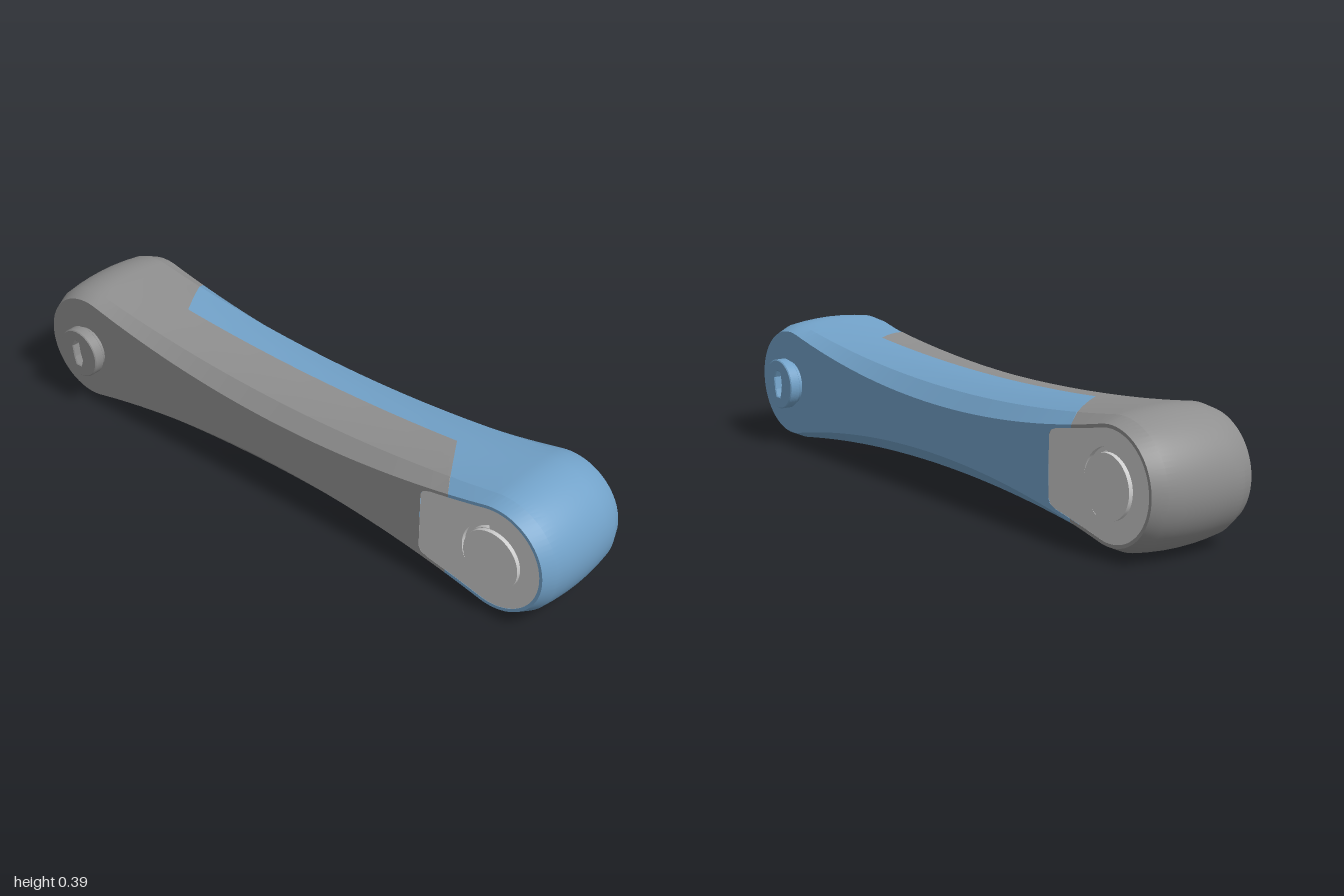
import * as THREE from 'three';
import { toCreasedNormals } from 'three/addons/utils/BufferGeometryUtils.js';

const C = 0.802;      // distance of each end's centre from the middle
const CY = 0.198;     // height of the centre line
const W = 0.177;      // half thickness
const BEND = 0.135;   // where the crown turns into the chamfer
const CUT = 0.64, RAMP = 0.53; // where the seam between the halves crosses over

const material = (color) => new THREE.MeshStandardMaterial({ color, side: THREE.DoubleSide });

// Crowned value across the thickness: mid at z = 0, bend at BEND, edge at W
function crown(z, mid, bend, edge) {
  const a = Math.abs(z);
  if (a <= BEND) return mid + (bend - mid) * (a / BEND) ** 2;
  return bend + (edge - bend) * (a - BEND) / (W - BEND);
}

// Outline at depth z: end circle R, waist h, joined by a tangent concave arc rho
function section(z, inset = 0) {
  const R = crown(z, 0.197, 0.186, 0.167) - inset;
  const h = crown(z, 0.148, 0.12, 0.075) - inset;
  const rho = (C * C + h * h - R * R) / (2 * (R - h));
  return { R, h, rho, half: (x) => h + rho - Math.sqrt(rho * rho - x * x) };
}

// From (-CUT, bottom) around the left end to (-CUT, top)
function endPath(z, inset = 0) {
  const { R, h, rho, half } = section(z, inset);
  const a = Math.atan2(h + rho, C);
  const tx = -C + R * Math.cos(a);
  const side = [0, 1, 2, 3].map((i) => THREE.MathUtils.lerp(-CUT, tx, i / 4));
  const pts = side.map((x) => [x, -half(x)]);
  for (let i = 0; i <= 40; i++) {
    const t = -a - (2 * Math.PI - 2 * a) * i / 40;
    pts.push([-C + R * Math.cos(t), R * Math.sin(t)]);
  }
  side.reverse().forEach((x) => pts.push([x, half(x)]));
  return pts;
}

// x stations along the bar between the two seam crossings
const stations = [];
for (let i = 0; i < 4; i++) stations.push(CUT - (CUT - RAMP) * i / 4);
for (let i = 0; i <= 28; i++) stations.push(RAMP - 2 * RAMP * i / 28);
for (let i = 1; i < 4; i++) stations.push(-RAMP - (CUT - RAMP) * i / 4);

// Bottom from the right, round the left end, back along the top
function halfPath(z) {
  const { half } = section(z);
  return [
    ...stations.map((x) => [x, -half(x)]),
    ...endPath(z),
    ...[...stations].reverse().map((x) => [x, half(x)]),
  ];
}

// Rear limit of one half: full depth at its own end, none at the other
function seam(x) {
  if (x <= -CUT) return -W;
  if (x < -RAMP) return -W * (-x - RAMP) / (CUT - RAMP);
  if (x < RAMP) return 0;
  return W * Math.min(1, (x - RAMP) / (CUT - RAMP));
}

function shellGeometry() {
  const levels = [-W, -BEND, -0.09, -0.045, 0, 0.045, 0.09, BEND, W];
  const base = halfPath(0);
  const pos = [], index = [];
  levels.forEach((level) => {
    base.forEach(([x0], i) => {
      const z = Math.max(level, seam(x0));
      const [x, y] = halfPath(z)[i];
      pos.push(x, y, z);
    });
  });
  const n = base.length;
  for (let j = 0; j < levels.length - 1; j++) {
    for (let i = 0; i < n - 1; i++) {
      const a = j * n + i, b = a + n;
      index.push(a, b, a + 1, b, b + 1, a + 1);
    }
  }
  const g = new THREE.BufferGeometry();
  g.setAttribute('position', new THREE.Float32BufferAttribute(pos, 3));
  g.setIndex(index);
  return toCreasedNormals(g, 0.3);
}

const shapeOf = (pts) => new THREE.Shape(pts.map(([x, y]) => new THREE.Vector2(x, y)));

// Rounded inner corner of the end plate, from the middle outwards
const corner = [[-0.545, 0.09], [-0.553, 0.105], [-0.575, 0.114]];
const lower = corner.map(([x, y]) => [x, -y]);
const platePath = () => [...lower, ...endPath(W, 0.01), ...[...corner].reverse()];

function add(group, name, geometry, mat, x = 0, z = 0) {
  const mesh = new THREE.Mesh(geometry, mat);
  mesh.name = name;
  mesh.position.set(x, 0, z);
  group.add(mesh);
  return mesh;
}

function disc(group, name, r, z0, z1, mat) {
  const g = new THREE.CylinderGeometry(r, r, z1 - z0, 48).rotateX(Math.PI / 2);
  add(group, name, g, mat, -C, (z0 + z1) / 2);
}

const extrude = (shape, depth) =>
  new THREE.ExtrudeGeometry(shape, { depth, bevelEnabled: false, curveSegments: 48 });

function createHalf(name, color) {
  const half = new THREE.Group();
  half.name = name;
  const body = material(color), plain = material(0xcccccc);

  // Crowned outer skin
  add(half, 'shell', shellGeometry(), body);

  // Flat front face, cut away around the other half's plate
  const y = section(W, 0.01).half(CUT);
  const notch = [[-CUT, y], ...[...corner].reverse(), ...lower, [-CUT, -y]].map(([px, py]) => [-px, py]);
  add(half, 'frontFace', new THREE.ShapeGeometry(shapeOf([...halfPath(W), ...notch])), body, 0, W);

  // Narrow rim round the plate at the back
  const rim = [...endPath(W), ...endPath(W, 0.01).reverse()];
  add(half, 'plateRim', new THREE.ShapeGeometry(shapeOf(rim)), body, 0, -W);

  // End plate with a curved slot beside the pin, over a solid backing
  const plate = shapeOf(platePath());
  const slot = new THREE.Path();
  slot.absarc(-C, 0, 0.107, -1.0, 1.4, false);
  slot.absarc(-C, 0, 0.094, 1.4, -1.0, true);
  plate.holes.push(slot);
  add(half, 'endPlate', extrude(plate, 0.014), plain, 0, -W + 0.001);
  add(half, 'plateBacking', extrude(shapeOf(platePath()), 0.02), plain, 0, -W + 0.015);
  disc(half, 'pinEnd', 0.0925, -0.189, -0.16, plain);

  // Bolt with a collar and an upright six-sided socket
  disc(half, 'boltCollar', 0.07, 0.16, 0.2, body);
  const head = new THREE.Shape().absarc(0, 0, 0.077, 0, Math.PI * 2, false);
  head.holes.push(shapeOf([[0.012, 0.045], [-0.012, 0.045], [-0.026, 0.02], [-0.02, -0.02],
    [-0.012, -0.045], [0.012, -0.045], [0.02, -0.02], [0.026, 0.02]]));
  const headGeometry = new THREE.ExtrudeGeometry(head, {
    depth: 0.029, bevelEnabled: true, bevelSize: 0.003, bevelThickness: 0.003, bevelSegments: 1, curveSegments: 48,
  });
  add(half, 'boltHead', headGeometry, body, -C, 0.193);
  return half;
}

export function createModel() {
  const model = new THREE.Group();
  model.name = 'linkArm';
  const front = createHalf('frontHalf', 0x8f8f8f);
  const back = createHalf('backHalf', 0x72a2c9);
  back.rotation.y = Math.PI; // the halves are identical, turned about the upright axis
  front.position.y = back.position.y = CY;
  model.add(front, back);
  return model;
}
